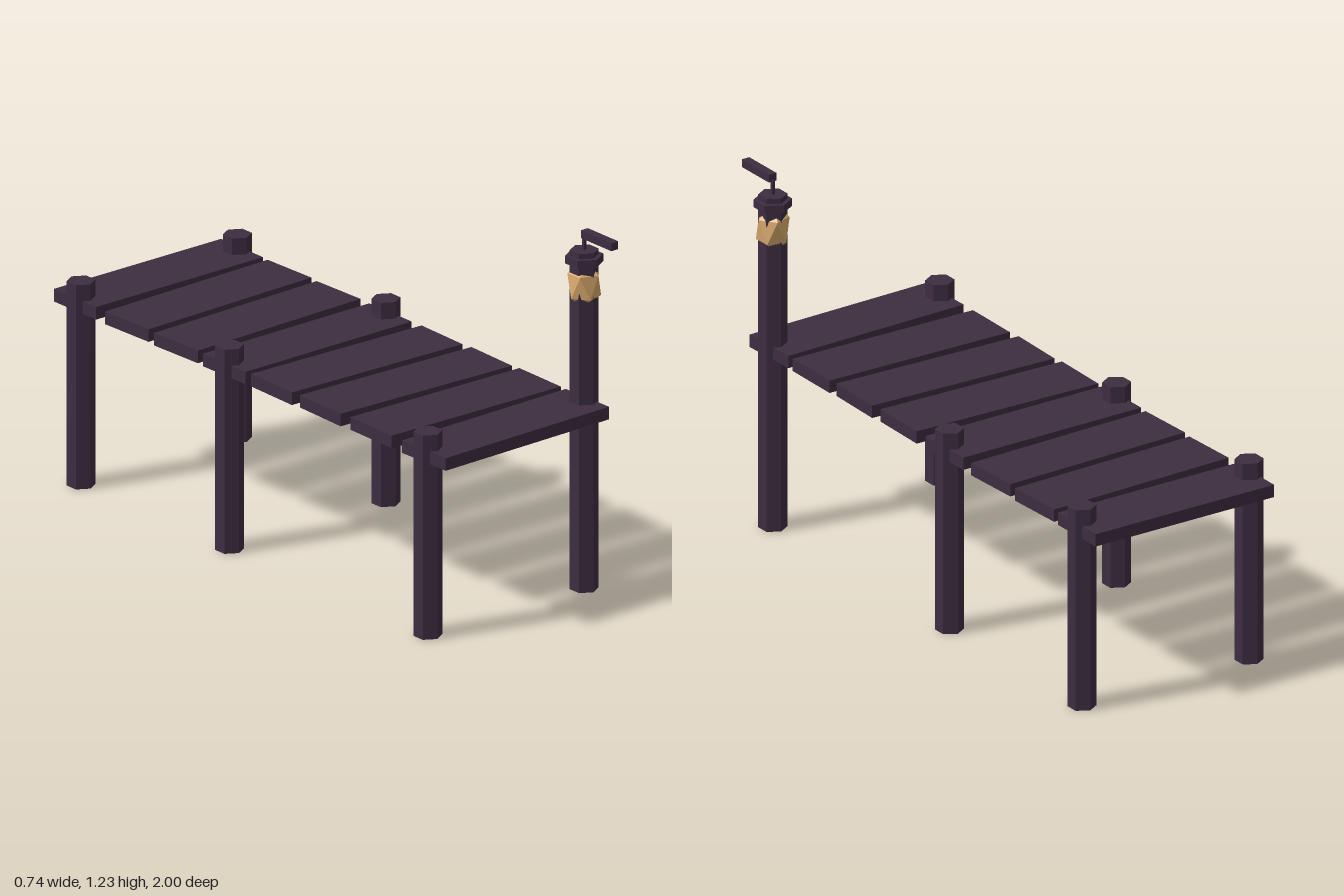
import * as THREE from 'three';

export function createModel() {
  const model = new THREE.Group();
  const wood = new THREE.MeshStandardMaterial({ name: 'darkWood', color: 0x3d2d40, flatShading: true });
  const glow = new THREE.MeshStandardMaterial({ name: 'amberGlow', color: 0xd9aa6e, flatShading: true });

  const add = (name, geometry, material, x, y, z) => {
    const mesh = new THREE.Mesh(geometry, material);
    mesh.name = name;
    mesh.position.set(x, y, z);
    model.add(mesh);
    return mesh;
  };
  const box = (name, w, h, d, x, y, z) => add(name, new THREE.BoxGeometry(w, h, d), wood, x, y, z);
  // Six-sided upright prism standing on y
  const prism = (name, radius, height, x, y, z) =>
    add(name, new THREE.CylinderGeometry(radius, radius, height, 6), wood, x, y + height / 2, z);

  // Deck planks: centre z and slight crooked turn
  const planks = [
    [-0.895, 0], [-0.646, 0.031], [-0.4, 0.032], [-0.149, 0.007],
    [0.098, -0.025], [0.345, -0.031], [0.593, -0.014], [0.844, 0.026],
  ];
  for (const [z, turn] of planks) {
    box('plank', 0.695, 0.043, 0.211, -0.008, 0.622, z).rotation.y = turn;
  }

  // Posts in pairs; the front left one rises into the lantern post
  const leftX = 0.316, rightX = -0.334, frontZ = 0.847;
  for (const z of [-0.89, -0.146, frontZ]) {
    prism('post', 0.047, 0.7, rightX, 0, z);
    if (z === frontZ) prism('lanternPost', 0.047, 1.162, leftX, 0, z);
    else prism('post', 0.047, 0.7, leftX, 0, z);
  }

  // Faceted lantern band around the post
  const lantern = new THREE.IcosahedronGeometry(1, 0);
  // Stand the solid on a corner, with an upper-ring corner towards +x
  const p = lantern.attributes.position;
  const up = new THREE.Vector3().fromBufferAttribute(p, 0).normalize();
  const side = new THREE.Vector3().fromBufferAttribute(p, 1);
  side.addScaledVector(up, -side.dot(up)).normalize();
  const across = new THREE.Vector3().crossVectors(side, up);
  lantern.applyMatrix4(new THREE.Matrix4().makeBasis(side, up, across).transpose());
  lantern.scale(0.0604, 0.087, 0.0604);
  add('lantern', lantern, glow, leftX, 1.044, frontZ);

  // Cap collar, thin stem and forward arm
  prism('collar', 0.062, 0.026, leftX, 1.118, frontZ);
  box('stem', 0.01, 0.06, 0.01, leftX, 1.18, frontZ);
  box('arm', 0.029, 0.027, 0.152, leftX, 1.218, 0.924);

  return model;
}
